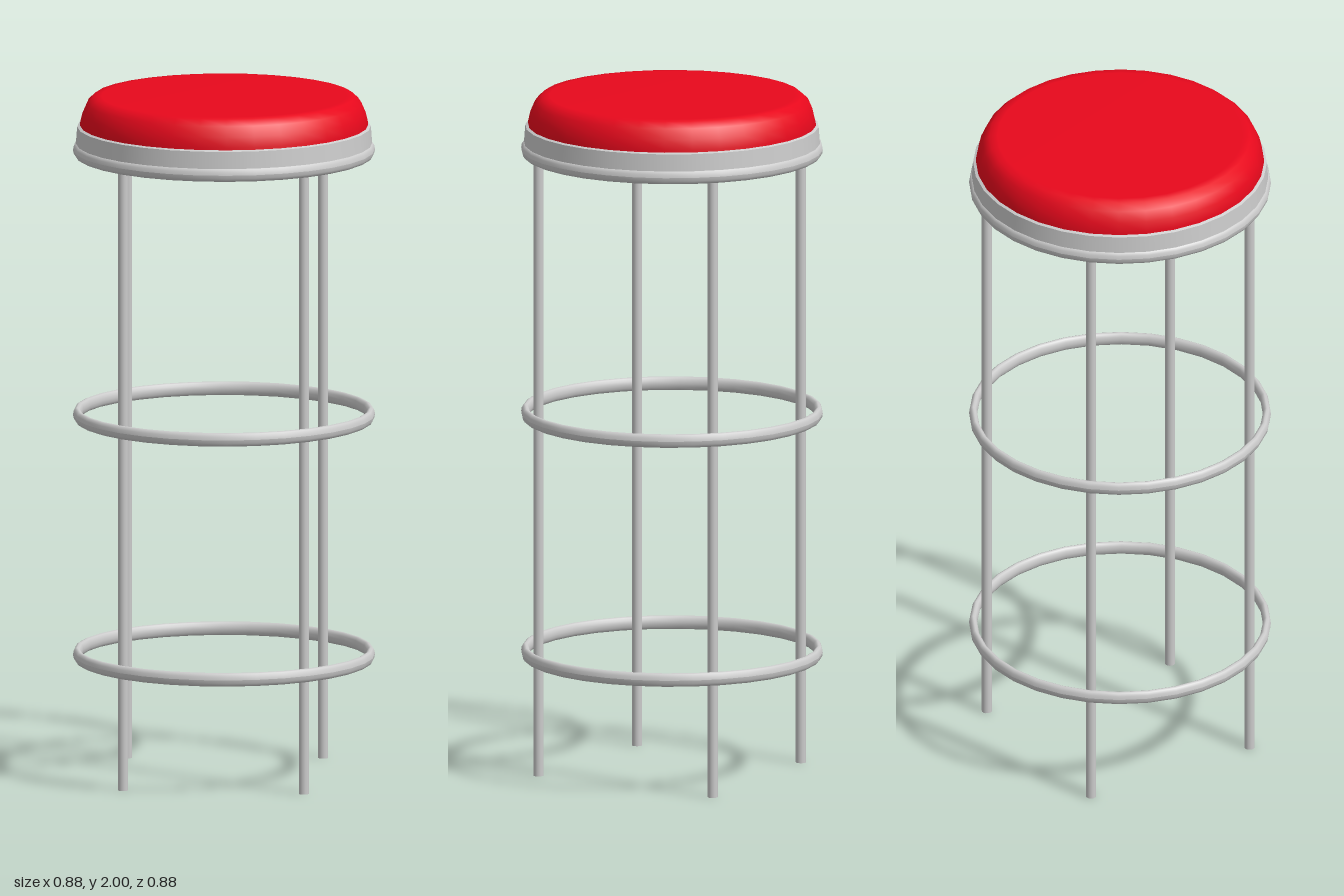
import * as THREE from 'three';

const SIDES = 32;

export function createModel() {
  const stool = new THREE.Group();
  stool.name = 'barStool';

  const metal = new THREE.MeshStandardMaterial({ color: 0xcccccc });
  const thinMetal = new THREE.MeshStandardMaterial({ color: 0xcccccc, side: THREE.DoubleSide });
  const red = new THREE.MeshStandardMaterial({ color: 0xe8081c });

  const add = (name, geometry, material, x = 0, y = 0, z = 0) => {
    const mesh = new THREE.Mesh(geometry, material);
    mesh.name = name;
    mesh.position.set(x, y, z);
    stool.add(mesh);
  };
  const lathe = (points) =>
    new THREE.LatheGeometry(points.map(([r, y]) => new THREE.Vector2(r, y)), SIDES);

  // Padded seat with a rounded shoulder, a flat top and a flat underside
  add('seatCushion', lathe([
    [0.418, 1.875], [0.418, 1.92], [0.411, 1.95], [0.398, 1.98],
    [0.378, 1.998], [0.355, 2.0], [0, 2.0],
  ]), red);
  add('seatUnderside', new THREE.CircleGeometry(0.418, SIDES).rotateX(Math.PI / 2), red, 0, 1.875);

  // Metal band around the seat, with a narrow lip on top
  add('seatBand', lathe([[0.431, 1.845], [0.426, 1.91]]), thinMetal);
  add('seatBandLip', lathe([[0.426, 1.91], [0.417, 1.914]]), thinMetal);

  // Seat rim and two foot rings, with an upright oval section
  const ring = lathe(Array.from({ length: 13 }, (_, i) => {
    const a = (i / 12) * Math.PI * 2;
    return [0.426 + 0.012 * Math.cos(a), 0.02 * Math.sin(a)];
  }));
  for (const [name, y] of [['seatRim', 1.842], ['upperRing', 1.062], ['lowerRing', 0.355]]) {
    add(name, ring, metal, 0, y);
  }

  // Four straight legs just inside the rings, set slightly off the axes
  const legHeight = 1.875;
  const leg = new THREE.CylinderGeometry(0.015, 0.015, legHeight, 12);
  for (const [name, x, z] of [
    ['frontLeg', -0.068, 0.387], ['backLeg', 0.004, -0.395],
    ['leftLeg', 0.398, 0.016], ['rightLeg', -0.39, -0.031],
  ]) {
    add(name, leg, metal, x, legHeight / 2, z);
  }

  return stool;
}
